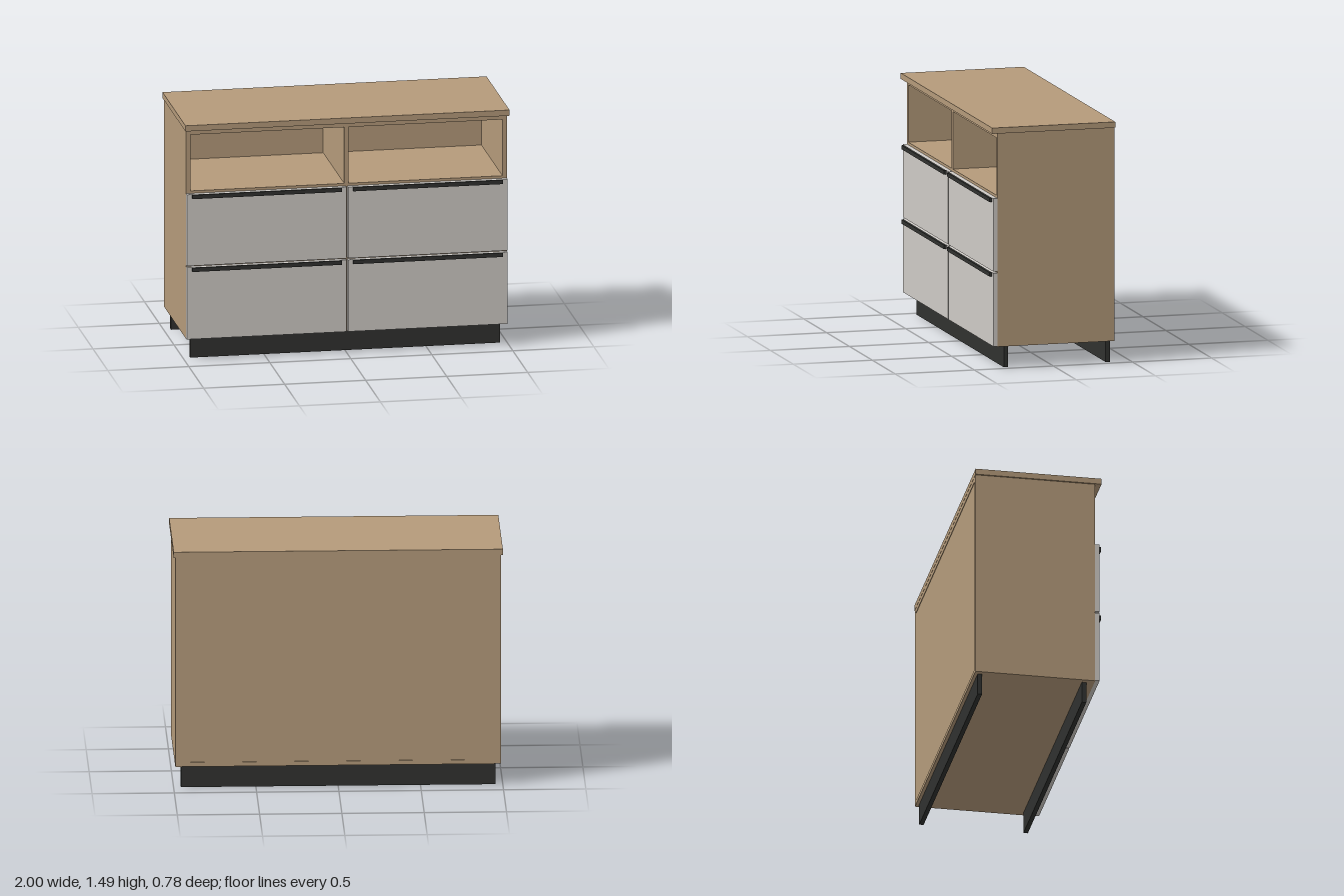
import * as THREE from 'three';

const wood = new THREE.MeshStandardMaterial({ color: 0xb59b7b });
const front = new THREE.MeshStandardMaterial({ color: 0xcfcbc6 });
const dark = new THREE.MeshStandardMaterial({ color: 0x30312f });

// Box given by its minimum and maximum extents
function board(parent, name, material, [x0, x1], [y0, y1], [z0, z1]) {
  const mesh = new THREE.Mesh(new THREE.BoxGeometry(x1 - x0, y1 - y0, z1 - z0), material);
  mesh.position.set((x0 + x1) / 2, (y0 + y1) / 2, (z0 + z1) / 2);
  mesh.name = name;
  parent.add(mesh);
}

export function createModel() {
  const model = new THREE.Group();
  model.name = 'sideboard';

  const T = 0.027;               // board thickness
  const W = 0.99;                // half width of the carcass
  const inner = W - T;
  const bottom = 0.134, top = 1.45;
  const back = -0.39, face = 0.35;
  const depth = [back, face];
  const inside = [back + 0.03, face];

  // Worktop, overhanging the sides and front
  board(model, 'worktop', wood, [-1, 1], [top, 1.486], [-0.391, 0.387]);

  // Carcass: sides, floor, ceiling, back, shelves and divider
  const carcass = new THREE.Group();
  carcass.name = 'carcass';
  model.add(carcass);
  board(carcass, 'rightSide', wood, [-W, -inner], [bottom, top], depth);
  board(carcass, 'leftSide', wood, [inner, W], [bottom, top], depth);
  board(carcass, 'floor', wood, [-inner, inner], [bottom, bottom + T], depth);
  board(carcass, 'ceiling', wood, [-inner, inner], [1.418, top], depth);
  board(carcass, 'backPanel', wood, [-inner, inner], [bottom + T, 1.418], [back + 0.003, back + 0.03]);
  for (const s of [-1, 1]) {
    const span = s < 0 ? [-inner, -T / 2] : [T / 2, inner];
    board(carcass, 'nicheShelf', wood, span, [1.037, 1.064], inside);
    board(carcass, 'drawerRail', wood, span, [0.58, 0.607], inside);
  }
  board(carcass, 'divider', wood, [-T / 2, T / 2], [bottom + T, 1.418], inside);

  // Four drawers with a grip strip along each upper edge
  for (const [y0, y1] of [[0.137, 0.589], [0.599, 1.048]]) {
    for (const s of [-1, 1]) {
      const drawer = new THREE.Group();
      drawer.name = 'drawer';
      const frontX = s < 0 ? [-W, -0.005] : [0.005, W];
      const gripX = s < 0 ? [-0.957, -0.036] : [0.036, 0.957];
      board(drawer, 'drawerFront', front, frontX, [y0, y1], [face, 0.377]);
      board(drawer, 'grip', dark, gripX, [y1 - 0.025, y1], [0.377, 0.393]);
      model.add(drawer);
    }
  }

  // Plinth boards
  board(model, 'frontPlinth', dark, [-0.956, 0.956], [0, bottom], [0.274, 0.301]);
  board(model, 'backPlinth', dark, [-0.956, 0.956], [0, bottom], [-0.37, -0.343]);

  return model;
}
